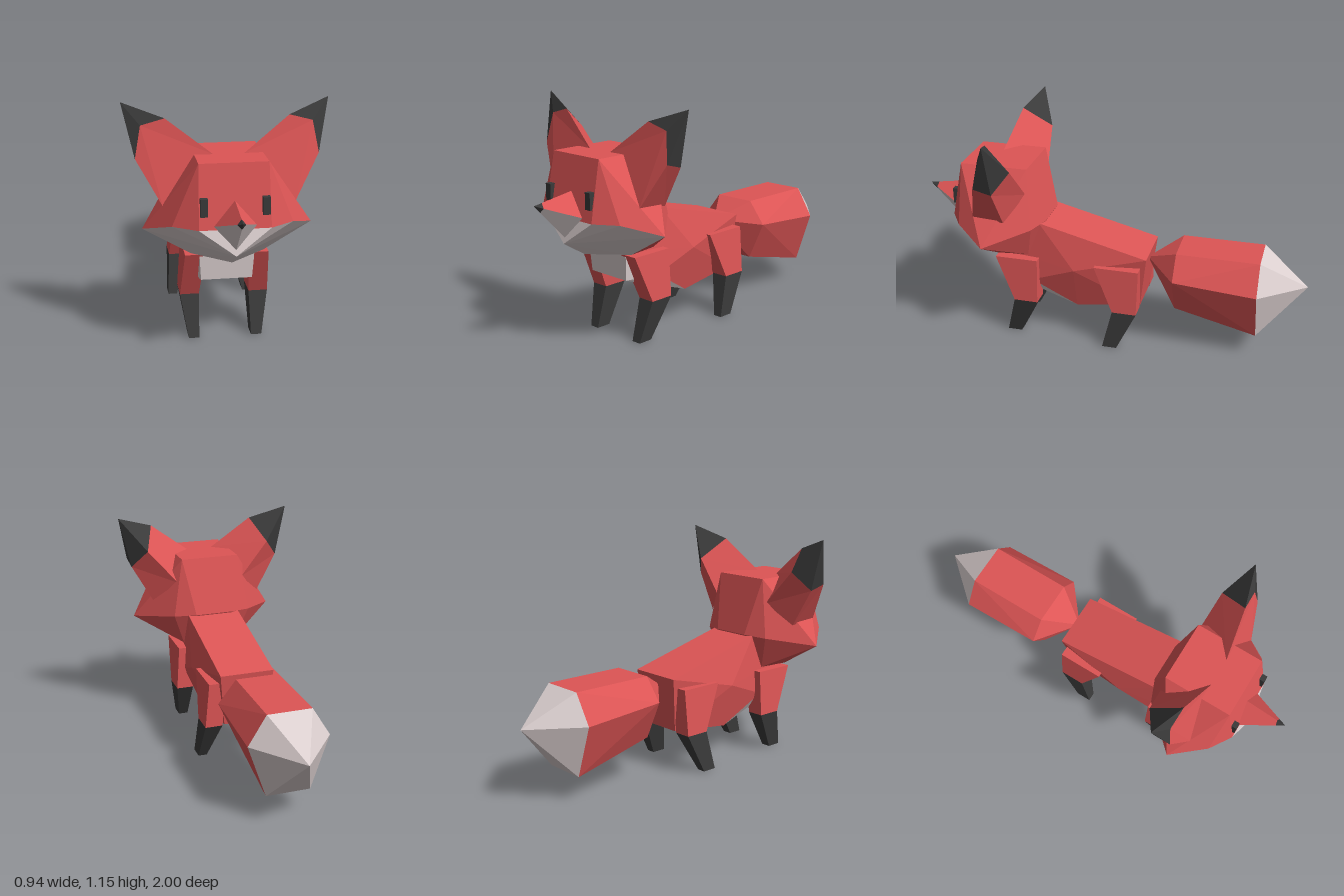
import * as THREE from 'three';
import { ConvexGeometry } from 'three/addons/geometries/ConvexGeometry.js';

const flat = (name, color) => {
  const m = new THREE.MeshStandardMaterial({ color, flatShading: true });
  m.name = name;
  return m;
};

export function createModel() {
  const red = flat('red fur', 0xdd5555);
  const white = flat('white fur', 0xdcd0d0);
  const black = flat('black fur', 0x3a3a3a);
  const model = new THREE.Group();
  model.name = 'fox';

  const add = (name, geometry, material) => {
    const mesh = new THREE.Mesh(geometry, material);
    mesh.name = name;
    model.add(mesh);
    return mesh;
  };
  const vec = (p) => new THREE.Vector3(...p);
  const flip = (p) => [-p[0], p[1], p[2]];
  const lerp = (a, b, t) => a.map((v, i) => v + (b[i] - v) * t);
  const hull = (name, material, pts) => add(name, new ConvexGeometry(pts.map(vec)), material);
  // points with their mirror images
  const both = (pts) => pts.flatMap((p) => (p[0] ? [p, flip(p)] : [p]));

  // polygons split into fans, each triangle turned away from a centre
  const shell = (name, material, polygons, centre) => {
    const out = [];
    const c = vec(centre);
    for (const poly of polygons) {
      for (let i = 1; i < poly.length - 1; i++) {
        const [a, b, d] = [poly[0], poly[i], poly[i + 1]].map(vec);
        const n = b.clone().sub(a).cross(d.clone().sub(a));
        const mid = a.clone().add(b).add(d).divideScalar(3).sub(c);
        const tri = n.dot(mid) < 0 ? [a, d, b] : [a, b, d];
        tri.forEach((v) => out.push(v.x, v.y, v.z));
      }
    }
    const g = new THREE.BufferGeometry();
    g.setAttribute('position', new THREE.Float32BufferAttribute(out, 3));
    g.computeVertexNormals();
    return add(name, g, material);
  };

  // Head: red skull over a white jaw
  const brow = [0.16, 0.64, 0.81], temple = [0.27, 0.64, 0.74];
  const cheek = [0.39, 0.58, 0.58], throat = [0.17, 0.45, 0.58];
  hull('head', red, both([
    [0.155, 0.925, 0.755], [0.155, 0.925, 0.41], brow, temple, cheek, throat,
    [0.1, 0.63, 0.335], [0.21, 0.62, 0.38], [0.15, 0.45, 0.42],
  ]));
  hull('jaw', white, both([brow, temple, cheek, throat, [0, 0.525, 0.84], [0, 0.45, 0.72]]));

  // Snout: red above, white below, black tip
  const tip = [0, 0.73, 1], bridge = [0, 0.765, 0.775];
  const lip = [0.095, 0.655, 0.805], chin = [0, 0.55, 0.83];
  const cut = (p) => lerp(p, tip, 0.8);
  const inside = [0, 0.68, 0.82];
  const sides = (a, b) => [[a, b, cut(b), cut(a)], [a, flip(b), flip(cut(b)), cut(a)]];
  shell('snoutTop', red, sides(bridge, lip), inside);
  shell('snoutBottom', white, sides(chin, lip), inside);
  hull('nose', black, both([cut(bridge), cut(lip), cut(chin), tip]));

  // Body: red back and flanks, white chest and belly
  const TF = [0.14, 0.63, 0.36], TR = [0.14, 0.49, -0.2], RB = [0.11, 0.21, -0.165];
  const BE = [0.12, 0.17, 0.17], CB = [0.12, 0.31, 0.57], CT = [0.13, 0.46, 0.58];
  const W = [0.16, 0.31, 0.4], M = [0.18, 0.4, 0.17];
  const strip = (a, b) => [a, b, flip(b), flip(a)];
  const core = [0, 0.38, 0.17];
  const flank = [M, TF, CT, W, BE, RB, TR, TF];
  const under = [W, CT, CB, BE];
  shell('body', red, [
    strip(TF, TR), strip(TR, RB), strip(TF, CT), flank, flank.map(flip),
  ], core);
  shell('chestAndBelly', white, [
    strip(CT, CB), strip(CB, BE), strip(BE, RB), under, under.map(flip),
  ], core);

  // Tail: hexagonal brush with a white tip
  const ring = (z, top, mid, low) =>
    both([[0.11, top, z], [0.2, mid, z], [0.11, low, z]]);
  const tailEnd = ring(-0.765, 0.53, 0.385, 0.12);
  hull('tail', red, [[0, 0.44, -0.18], ...ring(-0.345, 0.53, 0.415, 0.22), ...tailEnd]);
  hull('tailTip', white, [...tailEnd, [0, 0.375, -1]]);

  // Level rectangle for a leg section
  const section = (y, x0, x1, z0, z1) =>
    [[x0, y, z0], [x1, y, z0], [x0, y, z1], [x1, y, z1]];
  const legs = {
    front: [[0.44, 0.1, 0.195, 0.36, 0.582], [0.205, 0.12, 0.21, 0.36, 0.485],
      [0, 0.125, 0.175, 0.465, 0.54]],
    hind: [[0.44, 0.1, 0.19, -0.17, 0.06], [0.205, 0.12, 0.21, -0.165, -0.04],
      [0, 0.175, 0.22, -0.065, 0.01]],
  };

  for (const [s, side] of [[1, 'Left'], [-1, 'Right']]) {
    const m = (pts) => (s > 0 ? pts : pts.map(flip));

    // Legs with black lower halves
    for (const [end, sections] of Object.entries(legs)) {
      const [top, knee, foot] = sections.map((r) => m(section(...r)));
      hull(`${end}Leg${side}`, red, [...top, ...knee]);
      hull(`${end}Foot${side}`, black, [...knee, ...foot]);
    }

    // Eye
    const eye = add(`eye${side}`, new THREE.BoxGeometry(0.033, 0.08, 0.03), black);
    eye.position.set(s * 0.137, 0.74, 0.795);

    // Ear: four-sided, with a black tip edging the front
    const [P, Q, S, R] = m([
      [0.28, 1.085, 0.57], [0.335, 0.98, 0.43], [0.41, 0.885, 0.5], [0.415, 0.91, 0.59]]);
    const [A, B, D, C] = m([
      [0.07, 0.925, 0.61], [0.18, 0.8, 0.41], [0.3, 0.69, 0.49], [0.3, 0.705, 0.65]]);
    const [T, F, mid] = m([[0.47, 1.15, 0.51], [0.388, 1.055, 0.566], [0.31, 0.92, 0.53]]);
    shell(`ear${side}`, red, [
      [F, P, A, C, R], [A, P, Q, B], [B, Q, S, D], [D, S, R, C],
    ], mid);
    shell(`earTip${side}`, black, [
      [T, P, F], [T, F, R], [T, P, Q], [T, Q, S], [T, S, R],
    ], mid);
  }
  return model;
}
